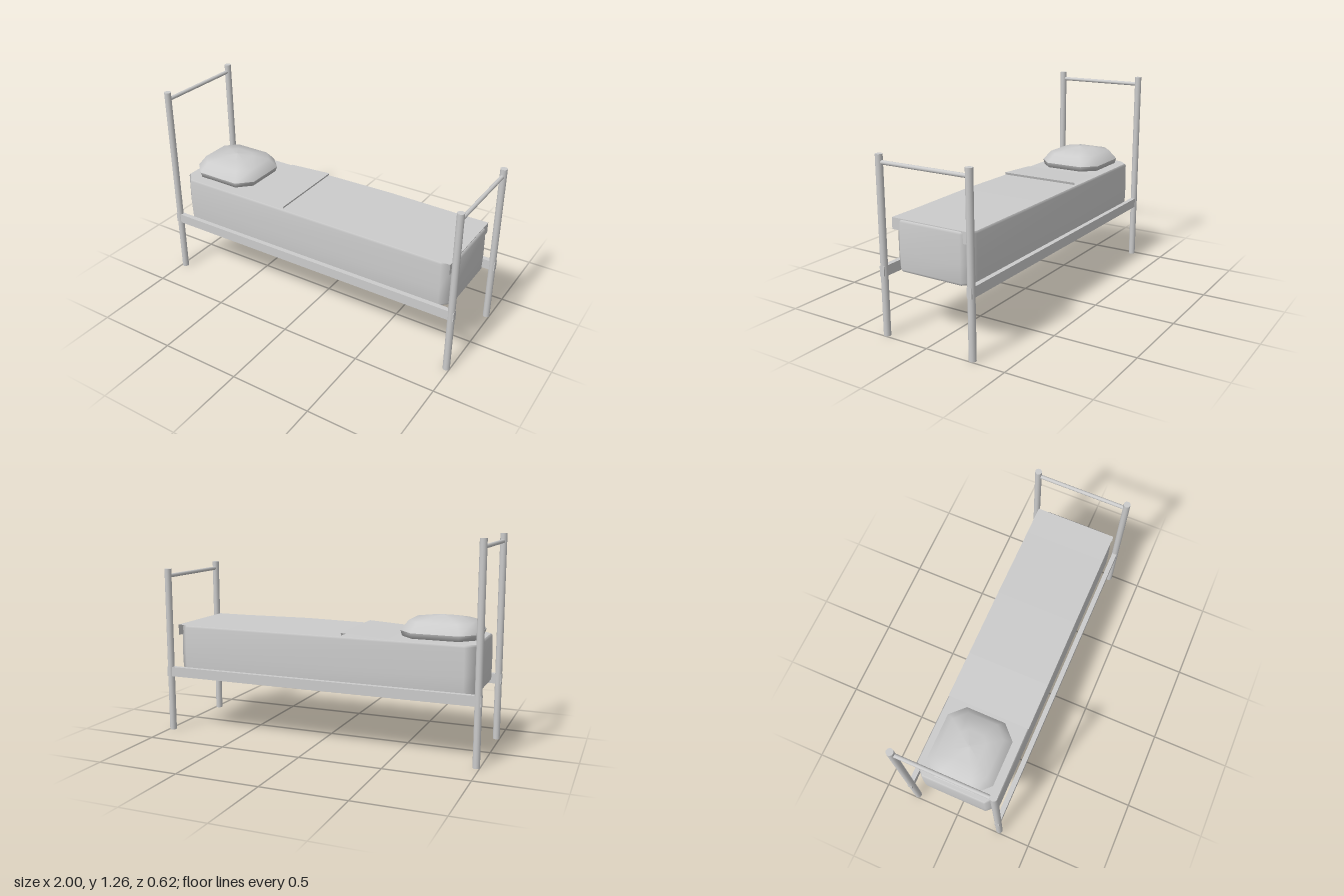
import * as THREE from 'three';

const metal = new THREE.MeshStandardMaterial({ color: 0xcccccc });
const cloth = new THREE.MeshStandardMaterial({ color: 0xcccccc, side: THREE.DoubleSide });
const sheet = new THREE.MeshStandardMaterial({ color: 0xcccccc, side: THREE.DoubleSide, flatShading: true });

// Rectangle with cut corners, counter-clockwise from above
function ring(hx, hz, cut, y) {
  return [
    [-hx + cut, hz], [hx - cut, hz], [hx, hz - cut], [hx, -hz + cut],
    [hx - cut, -hz], [-hx + cut, -hz], [-hx, -hz + cut], [-hx, hz - cut],
  ].map(([x, z]) => [x, y, z]);
}

// Smooth skin over rings listed from bottom to top; rings with their own
// vertices at a cap keep the edge sharp
function loft(rings, capY) {
  const n = 8;
  const pos = rings.flat(2);
  const index = [];
  for (let r = 0; r < rings.length - 1; r++) {
    for (let i = 0; i < n; i++) {
      const a = r * n + i, b = r * n + (i + 1) % n;
      index.push(a, b, b + n, a, b + n, a + n);
    }
  }
  if (capY !== undefined) {
    const start = pos.length / 3;
    pos.push(...rings[rings.length - 1].flat(), 0, capY, 0);
    for (let i = 0; i < n; i++) index.push(start + n, start + i, start + (i + 1) % n);
  }
  const geo = new THREE.BufferGeometry();
  geo.setAttribute('position', new THREE.Float32BufferAttribute(pos, 3));
  geo.setIndex(index);
  geo.computeVertexNormals();
  return geo;
}

// Thin strip following an x-y path, spread across z
function ribbon(path, width) {
  const geo = new THREE.PlaneGeometry(1, width, path.length - 1, 1);
  const p = geo.attributes.position;
  for (let i = 0; i < p.count; i++) {
    const [x, y] = path[i % path.length];
    p.setXYZ(i, x, y, -p.getY(i));
  }
  geo.computeVertexNormals();
  return geo;
}

export function createModel() {
  const bed = new THREE.Group();
  bed.name = 'bed';
  const add = (name, geo, mat, x = 0, y = 0, z = 0) => {
    const mesh = new THREE.Mesh(geo, mat);
    mesh.name = name;
    mesh.position.set(x, y, z);
    bed.add(mesh);
    return mesh;
  };

  // Posts and crossbars at both ends
  for (const [end, x, height, barY] of [['head', -0.98, 1.26, 1.213], ['foot', 0.98, 1.03, 0.985]]) {
    for (const side of [-1, 1]) {
      add(end + 'Post', new THREE.CylinderGeometry(0.021, 0.021, height, 12), metal, x, height / 2, side * 0.29);
    }
    const bar = add(end + 'Bar', new THREE.CylinderGeometry(0.012, 0.012, 0.57, 12), metal, x, barY, 0);
    bar.rotation.x = Math.PI / 2;
  }

  // Long side rails
  for (const side of [-1, 1]) {
    add('sideRail', new THREE.BoxGeometry(2, 0.06, 0.03), metal, 0, 0.38, side * 0.29);
  }

  // Mattress: a shell open underneath
  add('mattress', loft([
    ring(0.94, 0.255, 0.06, 0.38),
    ring(0.95, 0.262, 0.065, 0.395),
    ring(0.952, 0.264, 0.065, 0.5),
    ring(0.95, 0.262, 0.065, 0.66),
    ring(0.94, 0.255, 0.06, 0.672),
  ], 0.672), cloth, -0.003);

  // Blanket, hanging over the foot end
  add('blanket', ribbon([
    [-0.45, 0.676], [-0.16, 0.677], [0.28, 0.683], [0.75, 0.677], [0.935, 0.677], [0.935, 0.61],
  ], 0.52), sheet);

  // Turned-back edge of the blanket
  add('blanketFold', ribbon([[-0.45, 0.678], [-0.16, 0.695], [-0.165, 0.68]], 0.51), sheet);

  // Pillow: lower band, then a soft domed top
  const rim = ring(0.225, 0.208, 0.085, 0.712);
  add('pillowBase', loft([
    ring(0.01, 0.01, 0.003, 0.676), ring(0.215, 0.2, 0.08, 0.68), rim,
  ]), cloth, -0.705);
  const dome = loft([
    rim, ring(0.185, 0.162, 0.07, 0.77),
    ring(0.09, 0.08, 0.035, 0.788), ring(0.005, 0.005, 0.002, 0.8),
  ], 0.8);
  add('pillowTop', dome, cloth, -0.705);

  return bed;
}
